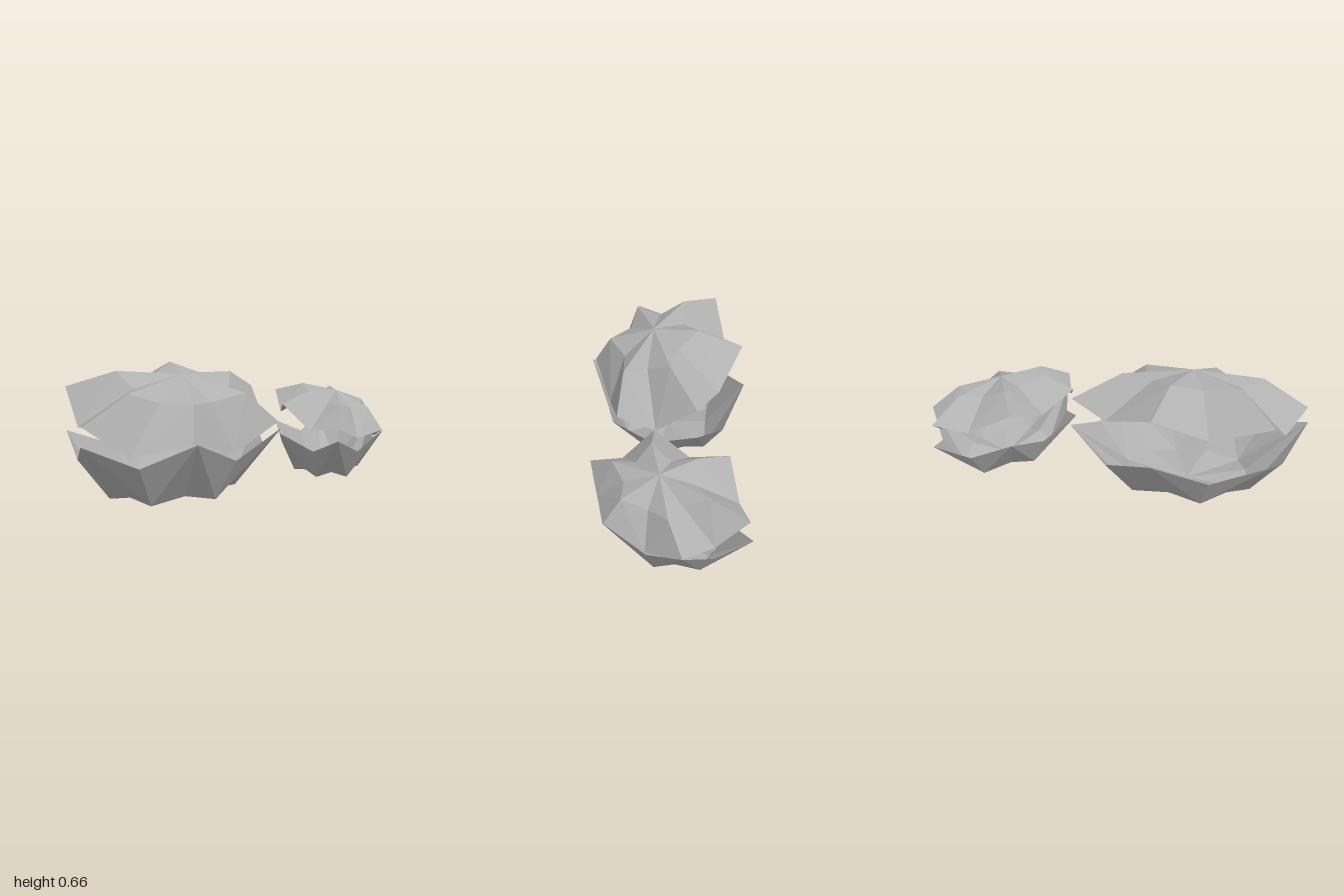
import * as THREE from 'three';

const stone = new THREE.MeshStandardMaterial({ color: 0xb0b0b0, side: THREE.DoubleSide, flatShading: true });
stone.name = 'grey shell';

// Faceted shell half. rim: 12 points [x, y, z], going round from +x towards +z.
// Every second rim point lies far from the cap (a tip), the others are notches.
// notchFirst tells whether rim[0] is a notch; hub is the middle of the cap.
function shell(name, rim, notchFirst, hub, apexY, isLid, scale) {
  const isNotch = i => (i % 2 === 0) === notchFirst;
  const middle = notch => {
    const c = new THREE.Vector3();
    rim.forEach((p, i) => { if (isNotch(i) === notch) c.add(new THREE.Vector3(...p)); });
    return c.divideScalar(6);
  };
  const centres = { true: middle(true), false: middle(false) };
  // Star-shaped inner ring: wide corners below the notches, set-back ones below the tips
  const ring = rim.map((p, i) => {
    const notch = isNotch(i);
    const offset = new THREE.Vector3(...p).sub(centres[notch]).multiplyScalar(notch ? scale : 0.5);
    const y = notch ? 0 : (isLid ? -0.03 : 0.03);
    return offset.add(new THREE.Vector3(hub[0], hub[1] + y, hub[2])).toArray();
  });
  const apex = [hub[0], apexY, hub[2]];
  const positions = [];
  const tri = (a, b, c) => positions.push(...a, ...(isLid ? c : b), ...(isLid ? b : c));
  for (let i = 0; i < 12; i++) {
    const j = (i + 1) % 12;
    tri(apex, ring[i], ring[j]);
    // the fold runs from the tip to the corner below the neighbouring notch
    if (isNotch(i)) {
      tri(ring[i], rim[i], rim[j]);
      tri(ring[i], rim[j], ring[j]);
    } else {
      tri(ring[i], rim[i], ring[j]);
      tri(rim[i], rim[j], ring[j]);
    }
  }
  const geometry = new THREE.BufferGeometry();
  geometry.setAttribute('position', new THREE.Float32BufferAttribute(positions, 3));
  geometry.computeVertexNormals();
  const mesh = new THREE.Mesh(geometry, stone);
  mesh.name = name;
  return mesh;
}

export function createModel() {
  const model = new THREE.Group();
  model.name = 'crackedShells';

  // Large shell on the right-hand side
  const large = new THREE.Group();
  large.name = 'largeShell';
  large.add(
    shell('largeBowl', [
      [0.23, 0.34, -0.1], [0.08, 0.23, 0.1], [0, 0.34, 0.29], [-0.31, 0.215, 0.26],
      [-0.61, 0.34, 0.29], [-0.8, 0.23, 0.1], [-1, 0.34, -0.07], [-0.85, 0.23, -0.28],
      [-0.76, 0.34, -0.47], [-0.46, 0.225, -0.455], [-0.17, 0.34, -0.47], [0.05, 0.225, -0.29],
    ], false, [-0.385, 0.017, -0.095], 0, false, 0.68),
    shell('largeLid', [
      [0.22, 0.5, -0.1], [0.11, 0.33, 0.09], [0, 0.37, 0.27], [-0.31, 0.25, 0.25],
      [-0.62, 0.34, 0.27], [-0.83, 0.28, 0.07], [-0.99, 0.43, -0.07], [-0.85, 0.39, -0.27],
      [-0.76, 0.56, -0.47], [-0.45, 0.47, -0.435], [-0.17, 0.59, -0.45], [0.05, 0.47, -0.26],
    ], true, [-0.4, 0.585, -0.02], 0.625, true, 0.6),
  );

  // Small shell beside it
  const small = new THREE.Group();
  small.name = 'smallShell';
  small.add(
    shell('smallBowl', [
      [0.99, 0.275, 0.17], [0.82, 0.175, 0.3], [0.66, 0.26, 0.47], [0.45, 0.17, 0.45],
      [0.27, 0.25, 0.45], [0.27, 0.175, 0.29], [0.21, 0.26, 0.11], [0.38, 0.175, -0.01],
      [0.53, 0.26, -0.18], [0.75, 0.17, -0.16], [0.93, 0.255, -0.18], [0.92, 0.175, 0],
    ], false, [0.595, 0.013, 0.14], 0, false, 0.7),
    shell('smallLid', [
      [0.99, 0.275, 0.17], [0.82, 0.185, 0.305], [0.66, 0.26, 0.465], [0.44, 0.245, 0.455],
      [0.26, 0.32, 0.455], [0.24, 0.29, 0.29], [0.22, 0.42, 0.12], [0.38, 0.345, -0.02],
      [0.53, 0.44, -0.18], [0.75, 0.33, -0.165], [0.93, 0.375, -0.16], [0.92, 0.245, 0],
    ], true, [0.61, 0.432, 0.185], 0.462, true, 0.6),
  );

  model.add(large, small);
  return model;
}
